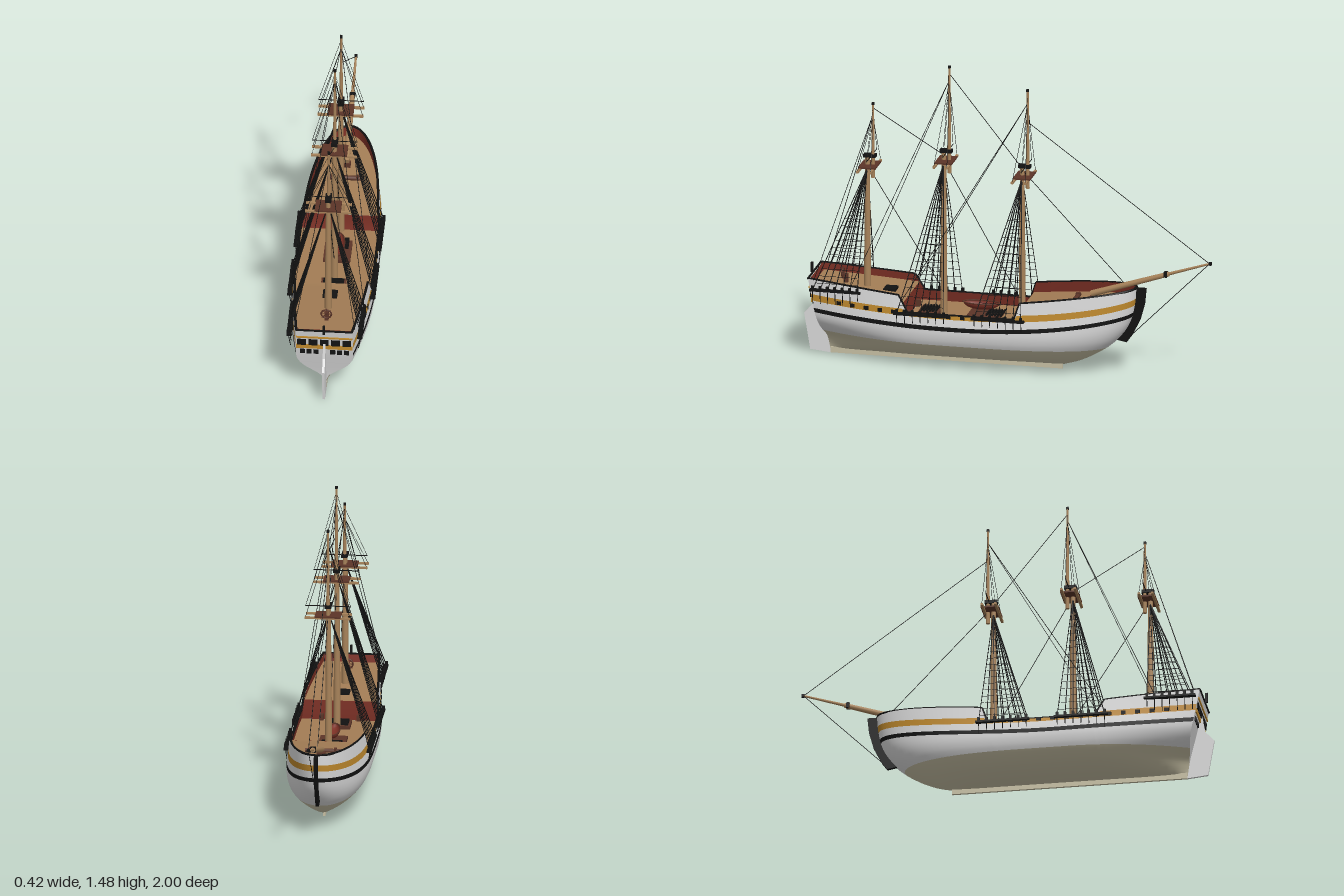
import * as THREE from 'three';
import { mergeGeometries } from 'three/addons/utils/BufferGeometryUtils.js';

const mat = (name, color, side = THREE.FrontSide) => {
  const m = new THREE.MeshStandardMaterial({ color, side });
  m.name = name;
  return m;
};
const white = mat('white paint', 0xdcdcdc), cream = mat('cream bottom', 0xc9c2a6), ochre = mat('ochre paint', 0xc08a2e);
const black = mat('black', 0x121212), deckTan = mat('deck planks', 0xa37d55, THREE.DoubleSide);
const spar = mat('spar wood', 0xa8835a), red = mat('bulwark red', 0x7c3025, THREE.DoubleSide), brown = mat('brown wood', 0x5c3528);
const V = (x, y, z) => new THREE.Vector3(x, y, z);

// smooth interpolation through a short table of [input, value]
function curve(tab) {
  const slope = i => {
    const a = tab[Math.max(i - 1, 0)], b = tab[Math.min(i + 1, tab.length - 1)];
    return (b[1] - a[1]) / (b[0] - a[0]);
  };
  return v => {
    if (v <= tab[0][0]) return tab[0][1];
    let i = 0;
    while (i < tab.length - 2 && v > tab[i + 1][0]) i++;
    const [x0, y0] = tab[i], [x1, y1] = tab[i + 1], h = x1 - x0, s = Math.min((v - x0) / h, 1), r = 1 - s;
    return r * r * (1 + 2 * s) * y0 + s * s * (3 - 2 * s) * y1 + h * s * r * (r * slope(i) - s * slope(i + 1));
  };
}

// hull form: midship section, transom section, stern and bow profiles
const mid = curve([[.02, 0], [.035, .055], [.055, .1], [.085, .145], [.13, .185], [.18, .2], [.23, .2], [.3, .19], [.44, .174]]);
const tran = curve([[.02, 0], [.05, .004], [.09, .02], [.12, .055], [.155, .1], [.2, .13], [.25, .137], [.44, .137]]);
const zStern = curve([[0, .87], [.1, .885], [.25, .92], [.43, .955]]);
const zBow = curve([[.02, -.27], [.05, -.36], [.1, -.455], [.16, -.535], [.25, -.6], [.35, -.627], [.45, -.635]]);
const tOf = z => (.95 - z) / 1.585, zOf = t => .95 - 1.585 * t;
function halfBreadth(t, y) {
  const k = 1 - (1 - Math.min(t / .4, 1)) ** 2, q = Math.max(0, (t - .5) / .5);
  return Math.max(0, THREE.MathUtils.lerp(tran(y), mid(y), k)) * Math.sqrt(Math.max(0, 1 - q ** 3));
}
const P = (t, y, s, inset = 0) =>
  V(s * Math.max(0, halfBreadth(t, y) - inset), y, THREE.MathUtils.lerp(zStern(y), zBow(y), t));

// sheer lines, as heights along the ship
const sheer = z => (z - .2) ** 2 * (z > .2 ? .055 : .115);
function rail(z) {
  if (z >= .5) return .365 + (z - .5) * .09;
  if (z > .46) return .285 + (z - .46) * 2;
  if (z >= -.08) return .285;
  if (z > -.1) return .285 + (-.08 - z) * 4.5;
  return .365 + .065 * (-.1 - z) / .535;
}
const line = off => z => Math.min(off + sheer(z), rail(z));
const lines = [() => .022, () => .13, line(.207), line(.228), line(.265), line(.297), rail];
const stations = [...Array(61)].map((_, i) => 1 - (1 - i / 60) ** 1.7)
  .concat([.5, .46, -.08, -.1].map(tOf)).sort((a, b) => a - b);

// grid surface from a point function
function surface(us, vs, f, flip) {
  const pos = [], idx = [], n = vs.length;
  us.forEach(u => vs.forEach(v => pos.push(...f(u, v).toArray())));
  for (let i = 0; i < us.length - 1; i++) for (let j = 0; j < n - 1; j++) {
    const a = i * n + j, b = a + n, q = [a, b, a + 1, b, b + 1, a + 1];
    idx.push(...(flip ? q.reverse() : q));
  }
  const g = new THREE.BufferGeometry();
  g.setAttribute('position', new THREE.Float32BufferAttribute(pos, 3));
  g.setIndex(idx);
  g.computeVertexNormals();
  return g;
}
const steps = n => [...Array(n + 1)].map((_, i) => i / n);
const rod = (a, b, r, r2 = r, sides = 4) => {
  const d = b.clone().sub(a), g = new THREE.CylinderGeometry(r2, r, d.length(), sides);
  g.applyQuaternion(new THREE.Quaternion().setFromUnitVectors(V(0, 1, 0), d.normalize()));
  const c = a.clone().add(b).multiplyScalar(.5);
  return g.translate(c.x, c.y, c.z);
};
const box = (w, h, d, x, y, z) => new THREE.BoxGeometry(w, h, d).translate(x, y, z);
const plate = (pts, w) => new THREE.ExtrudeGeometry(new THREE.Shape(pts.map(p => new THREE.Vector2(...p))),
  { depth: w, bevelEnabled: false }).translate(0, 0, -w / 2).rotateY(-Math.PI / 2);

export function createModel() {
  const ship = new THREE.Group();
  ship.name = 'sailingShip';
  const add = (name, m, ...geos) => {
    const mesh = new THREE.Mesh(geos.length > 1 ? mergeGeometries(geos) : geos[0], m);
    mesh.name = name;
    ship.add(mesh);
  };
  const sides = [1, -1];

  // painted bands of the hull sides and transom
  const bandMats = [cream, white, black, white, ochre, white];
  const bandNames = ['bottom', 'lowerSide', 'wale', 'middleSide', 'ochreBand', 'upperSide'];
  bandMats.forEach((m, k) => {
    const vs = steps(k === 0 ? 14 : k === 1 ? 6 : 2);
    const yAt = (t, v) => {
      const a = lines[k](zOf(t)), b = lines[k + 1](zOf(t));
      return a + (b - a) * (k === 0 ? v ** 1.5 : v);
    };
    add(bandNames[k], m, ...sides.map(s => surface(stations, vs, (t, v) => P(t, yAt(t, v), s), s < 0)));
  });
  add('transom', white, surface([1, -1], steps(30), (s, v) => P(0, .03 + (rail(.95) - .03) * v, s), true));
  add('bulwarkLining', red, ...sides.map(s => surface(stations, steps(2),
    (t, v) => P(t, .235 + (rail(zOf(t)) - .235) * v, s, .01))),
    surface([1, -1], [.33, rail(.95)], (s, y) => P(.006, y, s, .008)));

  // decks and the bulkheads at their breaks
  const deckY = z => z >= .48 ? rail(Math.max(z, .5)) - .035 : z >= -.09 ? .235 : rail(Math.min(z, -.1)) - .05;
  const deck = (z0, z1) => surface(steps(24), [-1, 1], (u, s) => {
    const z = z0 + (z1 - z0) * u;
    return P(tOf(z), deckY(z), s, .004);
  });
  add('decks', deckTan, deck(.95, .48), deck(.479, -.09), deck(-.091, -.635));
  add('bulkheads', red, ...[[.48, .33], [-.09, .315]].map(([z, y]) =>
    surface([-1, 1], steps(4), (s, v) => P(tOf(z), .235 + (y - .235) * v, s, .006))));

  // rail caps
  add('rails', black, ...sides.flatMap(s => stations.slice(1).map((t, i) => {
    const t0 = stations[i], y0 = rail(zOf(t0)), y1 = rail(zOf(t));
    return t - t0 < 1e-6 ? null : rod(P(t0, y0, s, .004), P(t, y1, s, .004), .006);
  }).filter(Boolean)), rod(P(0, .405, 1), P(0, .405, -1), .006));

  // stem, keel and rudder
  add('stem', black, plate([[-.68, .43], [-.672, .35], [-.65, .27], [-.61, .19], [-.585, .155], [-.53, .165], [-.59, .27], [-.62, .43]], .016));
  add('keel', cream, box(.012, .03, 1.14, 0, .015, .3));
  add('rudder', white, plate([[.87, 0], [.97, .01], [1, .19], [.955, .24], [.94, .33], [.91, .3]], .012));
  add('rudderStock', black, box(.01, .05, .012, 0, .42, .962));

  // stern windows and trim
  const pane = (w, h, x, y) => box(w, h, .006, x, y, zStern(y) + .003);
  add('sternTrim', ochre, pane(.27, .022, 0, .297), pane(.27, .008, 0, .36));
  add('sternWindows', black, ...[-2, -1, 0, 1, 2].map(i => pane(.042, .034, i * .054, .327)),
    ...sides.flatMap(s => [.04, .073, .106].map(x => pane(.024, .024, s * x, .262))));

  // small ports along the ochre band
  add('gunPorts', black, ...sides.flatMap(s => [...Array(13)].map((_, i) => {
    const z = .81 - i * .07, p = P(tOf(z), .278 + sheer(z), s);
    return box(.008, .018, .022, p.x, p.y, p.z);
  })));

  // masts, tops, shrouds and ratlines: [name, z, foot, lower head, topmast head, shroud foot z range, foot height, foot x]
  const masts = [
    ['fore', -.07, .235, 1.0, 1.38, -.11, .12, .28, .204],
    ['main', .315, .235, 1.05, 1.47, .27, .5, .28, .204],
    ['mizzen', .69, .33, 1.0, 1.26, .7, .92, .36, .175],
  ];
  for (const [n, z, foot, head, peak, za, zb, fy, fx] of masts) {
    const top = head - .055, tz = z - .027;
    add(n + 'Mast', spar, rod(V(0, foot, z), V(0, head, z), .018, .011, 12),
      rod(V(0, top - .055, tz), V(0, peak, tz), .01, .005, 8),
      box(.22, .01, .012, 0, top, z + .025), box(.22, .01, .012, 0, top, z - .04));
    add(n + 'Top', brown, box(.125, .008, .085, 0, top + .007, z - .01));
    add(n + 'Cap', black, box(.03, .016, .06, 0, head, z - .012), box(.012, .012, .012, 0, peak, tz),
      rod(V(-.11, head, z - .02), V(.11, head, z - .02), .0025));
    const ropes = [], boards = [], count = 7;
    for (const s of sides) {
      const apex = V(s * .008, top - .01, z);
      const ends = steps(count - 1).map(u => V(s * fx, fy, za + (zb - za) * u));
      ends.forEach(e => {
        ropes.push(rod(apex, e, .0022));
        boards.push(box(.012, .02, .012, e.x, e.y + .012, e.z), rod(e, V(s * (fx - .012), fy - .07, e.z), .002));
      });
      for (let i = 1; i < 15; i++) {
        const u = i / 17;
        ropes.push(rod(ends[0].clone().lerp(apex, u), ends[count - 1].clone().lerp(apex, u), .0011));
      }
      // topmast shrouds
      for (const dz of [.025, -.04])
        ropes.push(rod(V(0, peak - .07, tz), V(s * .108, top, z + dz), .0012));
      ropes.push(rod(V(0, peak - .02, tz), V(s * .108, head, z - .02), .001));
      boards.push(box(.024, .01, zb - za + .03, s * (fx - .005), fy, (za + zb) / 2));
    }
    add(n + 'Shrouds', black, ...ropes);
    add(n + 'Channels', black, ...boards);
  }

  // bowsprit
  add('bowsprit', spar, rod(V(0, .385, -.41), V(0, .51, -.79), .016, .012, 10), rod(V(0, .488, -.72), V(0, .575, -.99), .009, .005, 8));
  add('bowspritCaps', black, box(.026, .026, .016, 0, .507, -.775), box(.014, .014, .014, 0, .575, -.993));

  // stays and backstays
  const stay = (z0, y0, z1, y1, x = 0) => rod(V(0, y0, z0), V(x, y1, z1), .0017);
  add('stays', black, stay(-.1, 1.22, -.99, .575), stay(-.07, .98, -.57, .45), stay(.29, 1.44, -.06, 1),
    stay(.315, 1, -.05, .35), stay(.665, 1.24, .32, 1.03), stay(.69, .95, .33, .37), stay(-.99, .575, -.575, .16),
    ...sides.flatMap(s => [stay(.29, 1.4, .74, .37, s * .18), stay(-.1, 1.32, .48, .34, s * .185), stay(.665, 1.2, .92, .4, s * .145)]));

  // deck fittings
  const slats = z => steps(5).map(u => box(.1, .008, .008, 0, .256, z - .035 + u * .07));
  add('hatchCoamings', brown, box(.12, .016, .1, 0, .243, .38), box(.13, .016, .16, 0, .243, .11),
    rod(V(-.085, .35, -.33), V(.085, .35, -.33), .012, .012, 8), box(.012, .05, .02, -.06, .34, -.33),
    box(.012, .05, .02, .06, .34, -.33), box(.04, .04, .03, 0, .355, -.42),
    ...sides.map(s => box(.02, .03, .04, s * .09, .25, .47)));
  add('gratings', black, ...slats(.38), ...slats(.06), box(.07, .012, .06, 0, .34, .575));
  const boat = new THREE.SphereGeometry(1, 16, 8, 0, Math.PI * 2, Math.PI / 2, Math.PI / 2).scale(.035, .035, .09).translate(0, .302, .13);
  add('shipsBoat', red, boat);
  add('boatRail', brown, new THREE.TorusGeometry(1, .06, 6, 24).rotateX(Math.PI / 2).scale(.035, .05, .09).translate(0, .302, .13));

  // steering wheel
  add('steeringWheel', brown, new THREE.TorusGeometry(.024, .004, 6, 20).translate(0, .402, .81), box(.02, .05, .02, 0, .375, .795),
    ...steps(3).map(u => rod(V(-.03, 0, 0), V(.03, 0, 0), .002).rotateZ(u * Math.PI * .75).translate(0, .402, .81)));
  return ship;
}
